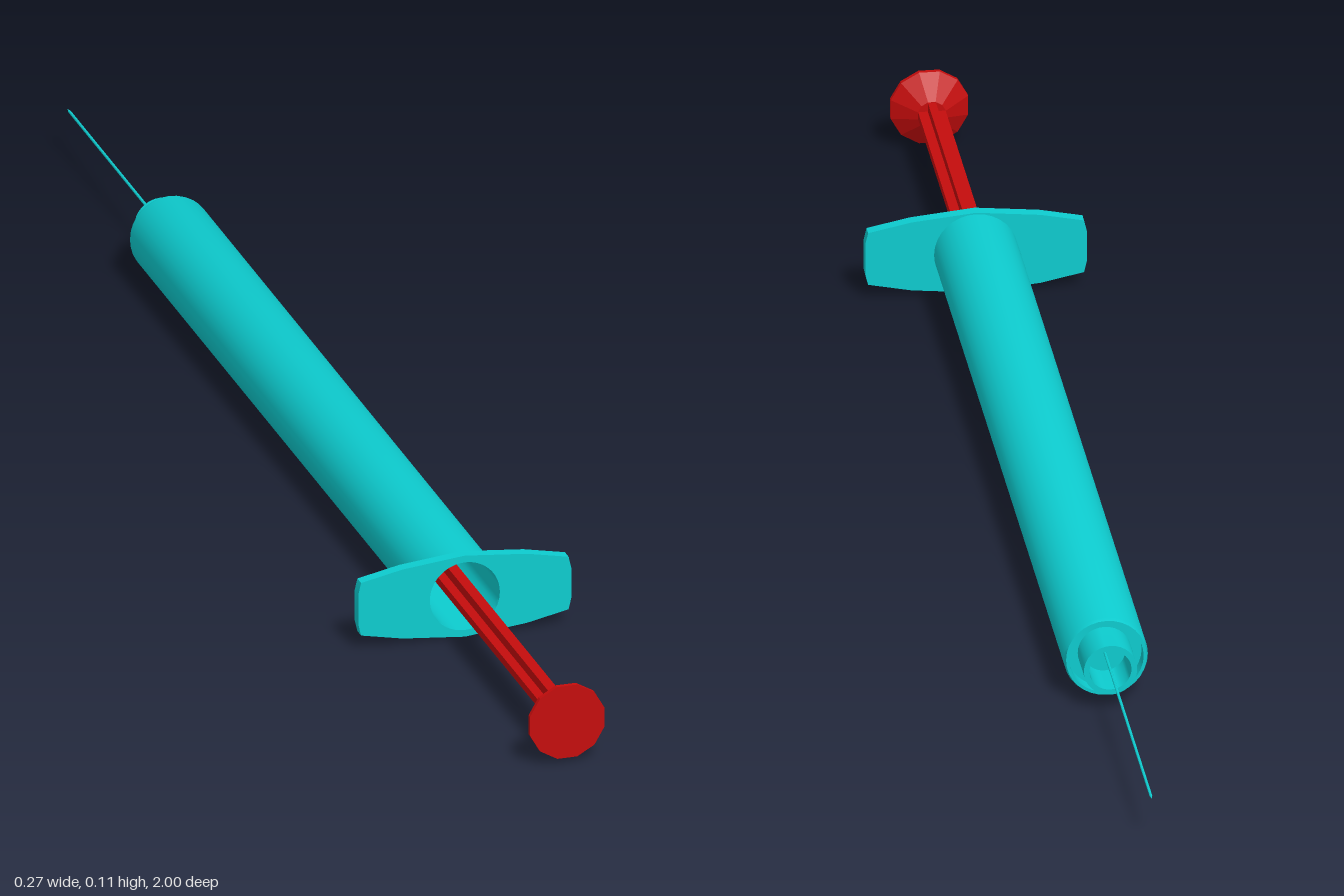
import * as THREE from 'three';
import { toCreasedNormals } from 'three/addons/utils/BufferGeometryUtils.js';

const CY = 0.055; // height of the long axis
const teal = new THREE.MeshStandardMaterial({ color: 0x0dcccf, side: THREE.DoubleSide });
const red = new THREE.MeshStandardMaterial({ color: 0xc40c0c });

// Turned part along z from [radius, z] pairs
function turned(points, sides, crease = 0.6, turn = 0) {
  const geo = new THREE.LatheGeometry(points.map(([r, z]) => new THREE.Vector2(r, z)), sides);
  geo.rotateY(turn);
  geo.rotateX(Math.PI / 2);
  return toCreasedNormals(geo, crease);
}

// Flat outline pushed along z
function extruded(shape, z0, z1) {
  const geo = new THREE.ExtrudeGeometry(shape, { depth: z1 - z0, bevelEnabled: false, curveSegments: 32 });
  geo.translate(0, 0, z0);
  return toCreasedNormals(geo, 0.5);
}

export function createModel() {
  const group = new THREE.Group();
  group.name = 'syringe';
  const add = (name, geo, material) => {
    const mesh = new THREE.Mesh(geo, material);
    mesh.name = name;
    mesh.position.y = CY;
    group.add(mesh);
  };

  // Hollow barrel with a recessed end floor and an open tip collar
  add('barrel', turned([
    [0.045, 0.585], [0.045, -0.555], [0.003, -0.555], [0.003, -0.575],
    [0.026, -0.575], [0.026, -0.63], [0.033, -0.63], [0.033, -0.575],
    [0.046, -0.575], [0.046, -0.594], [0.05, -0.594], [0.052, -0.588], [0.052, 0.585],
  ], 32), teal);

  // Finger flange with gently bowed sides
  const quarter = [[0.137, 0.02], [0.1335, 0.035], [0.08, 0.046]];
  const upper = [...quarter, [0, 0.054], ...[...quarter].reverse().map(([x, y]) => [-x, y])];
  const outline = [...upper, ...[...upper].reverse().map(([x, y]) => [x, -y])];
  const flange = new THREE.Shape(outline.map(([x, y]) => new THREE.Vector2(x, y)));
  flange.holes.push(new THREE.Path().absarc(0, 0, 0.045, 0, Math.PI * 2, true));
  add('fingerFlange', extruded(flange, 0.575, 0.59), teal);

  // Needle
  add('needle', turned([[0, -1], [0.0018, -0.992], [0.0018, -0.57]], 8), teal);

  // Plunger rod with a cross-shaped section
  const a = 0.017, b = 0.005;
  const cross = [[a, -b], [a, b], [b, b], [b, a], [-b, a], [-b, b],
    [-a, b], [-a, -b], [-b, -b], [-b, -a], [b, -a], [b, -b]];
  const rod = new THREE.Shape(cross.map(([x, y]) => new THREE.Vector2(x, y)));
  add('plungerRod', extruded(rod, -0.5, 0.99), red);

  // Piston inside the barrel
  add('piston', turned([[0, -0.53], [0.044, -0.52], [0.044, -0.47], [0, -0.47]], 24), red);

  // Twelve-sided flared thumb rest
  add('thumbRest', turned([
    [0, 0.972], [0.018, 0.972], [0.0495, 0.994], [0.0495, 1], [0, 1],
  ], 12, 0.3, Math.PI / 12), red);

  return group;
}
